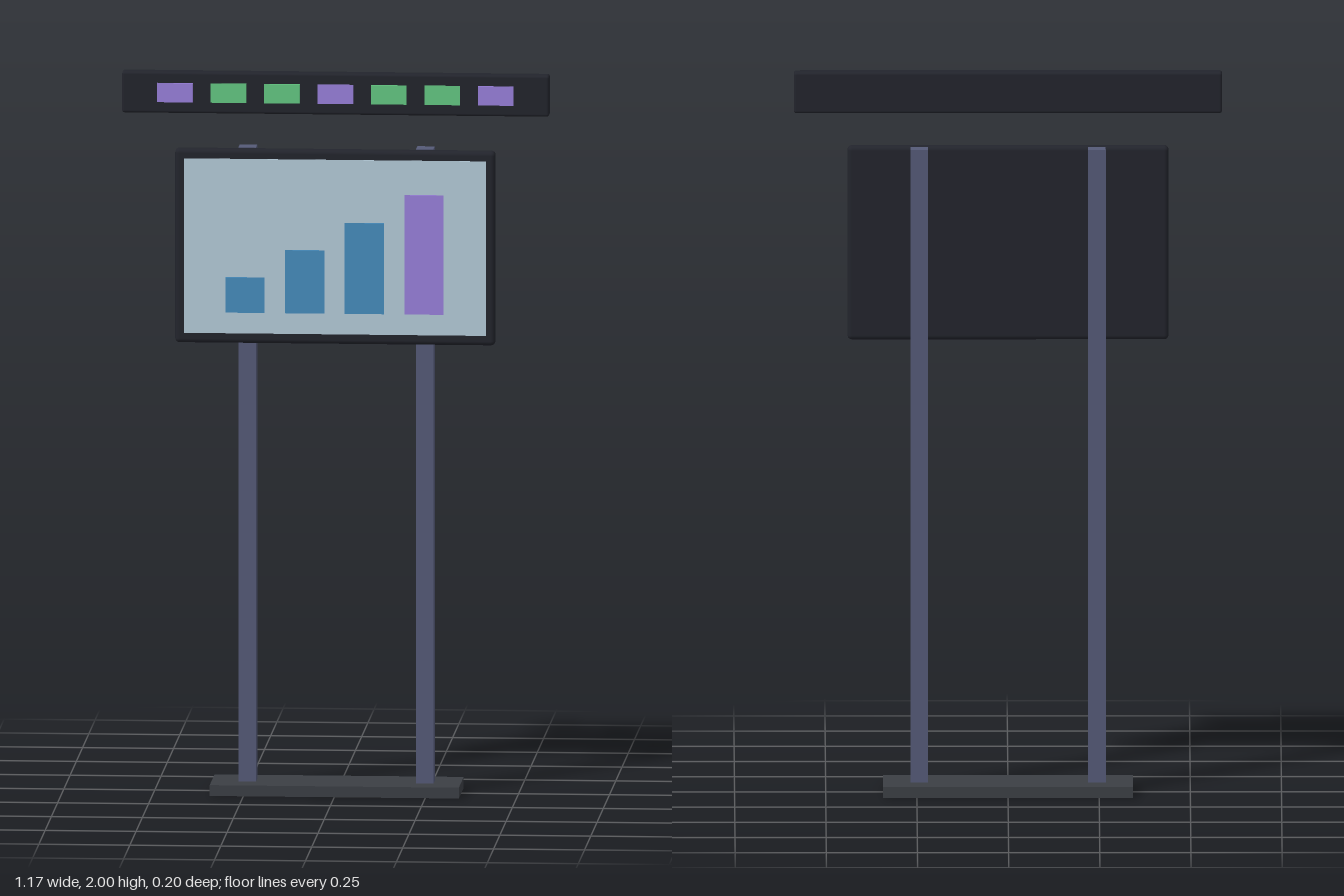
import * as THREE from 'three';
import { RoundedBoxGeometry } from 'three/addons/geometries/RoundedBoxGeometry.js';

const material = (color) => new THREE.MeshStandardMaterial({ color });
const dark = material(0x22242c);
const steel = material(0x555a77);
const baseGrey = material(0x3b3f44);
const glass = material(0xb4cbd9);
const blue = material(0x468cbd);
const purple = material(0x9980db);
const green = material(0x63c882);

export function createModel() {
  const model = new THREE.Group();
  model.name = 'displayStand';

  // Box given by its centre x, and its y and z ranges; a radius rounds the edges
  function box(name, mat, x, width, [y0, y1], [z0, z1], radius = 0) {
    const size = [width, y1 - y0, z1 - z0];
    const geometry = radius
      ? new RoundedBoxGeometry(...size, 3, radius)
      : new THREE.BoxGeometry(...size);
    const mesh = new THREE.Mesh(geometry, mat);
    mesh.name = name;
    mesh.position.set(x, (y0 + y1) / 2, (z0 + z1) / 2);
    model.add(mesh);
  }

  // Foot plate and the two posts
  box('basePlate', baseGrey, 0, 0.685, [0, 0.03], [-0.098, 0.098]);
  for (const [name, side] of [['leftPost', 1], ['rightPost', -1]]) {
    box(name, steel, side * 0.244, 0.048, [0.01, 1.79], [-0.025, 0.025]);
  }

  // Screen housing with its bright panel
  box('screenHousing', dark, 0, 0.88, [1.252, 1.79], [0.029, 0.068], 0.012);
  box('screenPanel', glass, 0, 0.83, [1.28, 1.764], [0.06, 0.07]);

  // Rising bar chart on the panel
  [1.436, 1.513, 1.59, 1.669].forEach((top, i) => {
    box(`chartBar${i + 1}`, i === 3 ? purple : blue, -0.247 + i * 0.164, 0.108, [1.338, top], [0.066, 0.075]);
  });

  // Header strip floating above, with a row of coloured tiles
  box('headerStrip', dark, 0, 1.174, [1.886, 2], [0.004, 0.05], 0.007);
  for (let i = -3; i <= 3; i++) {
    box(`headerTile${i + 4}`, i % 3 === 0 ? purple : green, i * 0.147, 0.098, [1.917, 1.97], [0.045, 0.056]);
  }

  return model;
}
